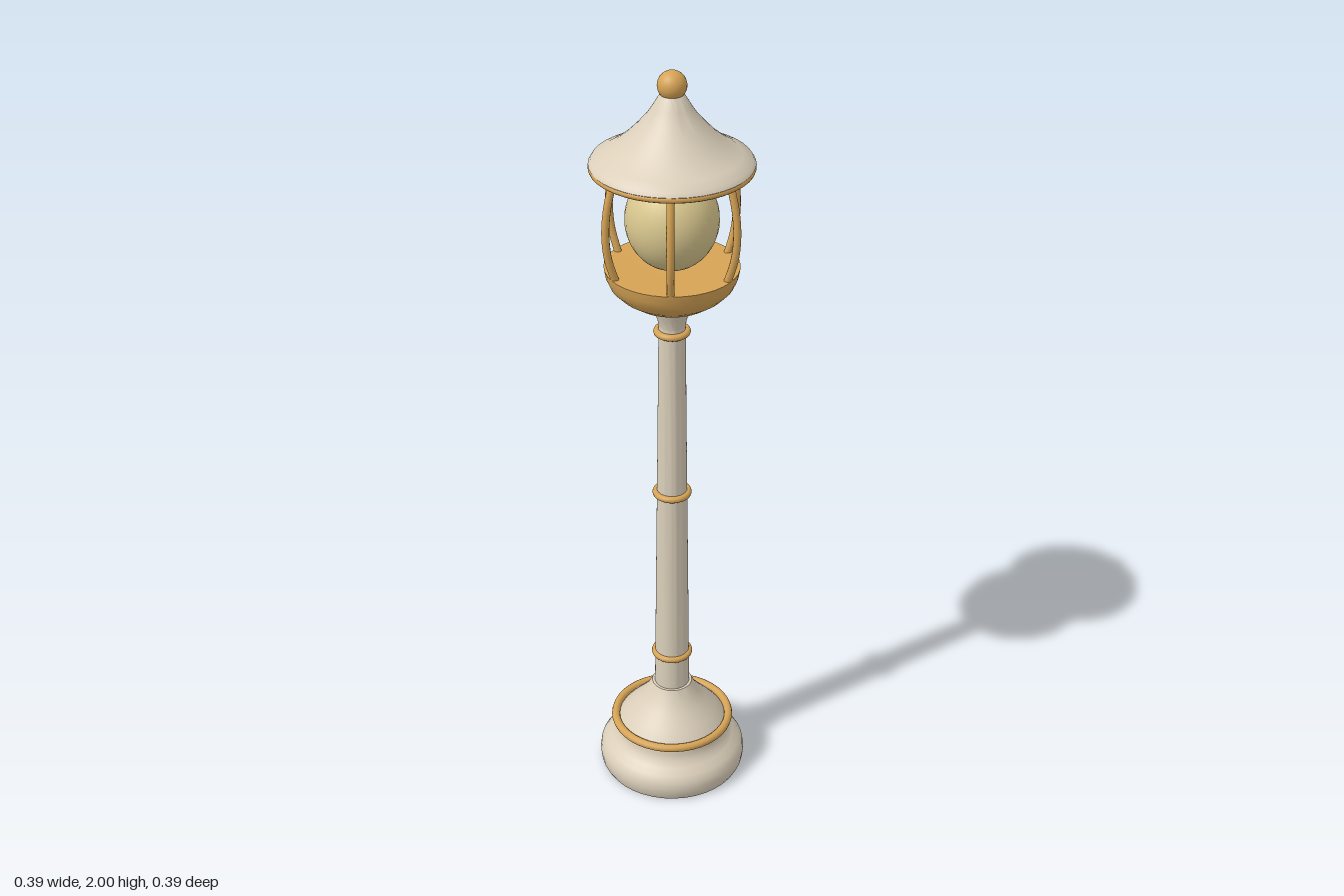
import * as THREE from 'three';
import { toCreasedNormals } from 'three/addons/utils/BufferGeometryUtils.js';

export function createModel() {
  const model = new THREE.Group();
  model.name = 'lampPost';

  const material = (name, color) => {
    const m = new THREE.MeshStandardMaterial({ color });
    m.name = name;
    return m;
  };
  const stone = material('cream stone', 0xdbcfba);
  const gold = material('warm gold', 0xd6a355);
  const glow = material('pale yellow glass', 0xdac88f);

  const add = (name, geometry, mat, y = 0, parent = model) => {
    const mesh = new THREE.Mesh(geometry, mat);
    mesh.name = name;
    mesh.position.y = y;
    parent.add(mesh);
    return mesh;
  };
  // Turned part from [radius, height] pairs, listed bottom to top
  const turned = (name, profile, mat) => {
    const points = profile.map(([r, y]) => new THREE.Vector2(r, y));
    return add(name, toCreasedNormals(new THREE.LatheGeometry(points, 40), 0.6), mat);
  };
  const ring = (name, radius, tube, y) => {
    const geometry = new THREE.TorusGeometry(radius, tube, 10, 40).rotateX(Math.PI / 2);
    return add(name, geometry, gold, y);
  };

  // Moulded foot and flared plinth
  turned('base', [
    [0, 0], [0.187, 0], [0.193, 0.012], [0.196, 0.035], [0.193, 0.055], [0.182, 0.072],
    [0.165, 0.086], [0.152, 0.1], [0.146, 0.118], [0.146, 0.14], [0.138, 0.152],
    [0.118, 0.175], [0.09, 0.205], [0.068, 0.232], [0.053, 0.262], [0, 0.262],
  ], stone);
  ring('baseRing', 0.153, 0.011, 0.147);

  // Tapered column with bands
  turned('column', [[0.046, 0.25], [0.042, 0.6], [0.037, 1], [0.033, 1.36]], stone);
  [[0.36, 0.045], [0.865, 0.041], [1.33, 0.037]].forEach(([y, r], i) =>
    ring(`columnBand${i + 1}`, r, 0.009, y));

  // Flared neck under the lantern
  turned('neck', [[0.033, 1.345], [0.036, 1.365], [0.045, 1.385], [0.052, 1.412], [0, 1.412]], stone);

  // Lantern bowl
  turned('bowl', [
    [0, 1.407], [0.07, 1.407], [0.1, 1.42], [0.13, 1.441], [0.15, 1.462],
    [0.16, 1.485], [0.164, 1.508], [0.15, 1.508], [0, 1.502],
  ], gold);

  // Egg-shaped globe
  add('globe', new THREE.SphereGeometry(0.113, 32, 24).scale(1, 1.11, 1), glow, 1.63);

  // Six bowed cage bars
  const cage = new THREE.Group();
  cage.name = 'cage';
  model.add(cage);
  const bow = new THREE.CatmullRomCurve3(
    [[0.15, 1.495], [0.171, 1.565], [0.177, 1.63], [0.171, 1.695], [0.153, 1.768]]
      .map(([x, y]) => new THREE.Vector3(x, y, 0)));
  const barGeometry = new THREE.TubeGeometry(bow, 20, 0.0095, 10);
  for (let i = 0; i < 6; i++) {
    add(`cageBar${i + 1}`, barGeometry, gold, 0, cage).rotation.y = (i * Math.PI) / 3;
  }

  // Roof with gold rim and ball finial
  turned('roof', [
    [0, 1.766], [0.19, 1.766], [0.196, 1.774], [0.19, 1.784], [0.165, 1.797], [0.135, 1.817],
    [0.11, 1.838], [0.085, 1.864], [0.06, 1.893], [0.046, 1.914], [0.034, 1.935], [0.026, 1.945], [0, 1.945],
  ], stone);
  ring('roofRim', 0.188, 0.009, 1.767);
  add('finial', new THREE.SphereGeometry(0.035, 24, 16), gold, 1.965);

  return model;
}
